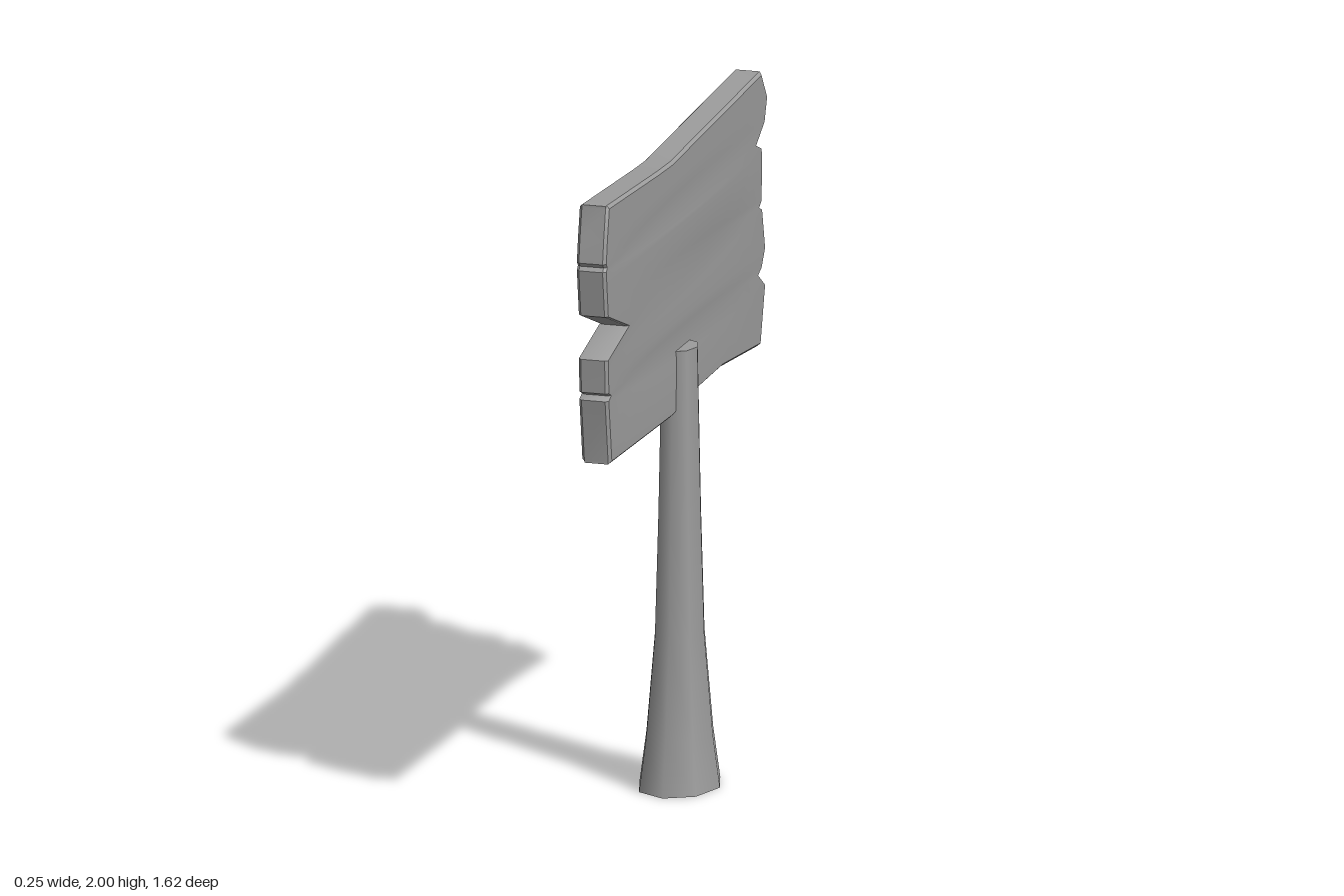
import * as THREE from 'three';
import { toCreasedNormals } from 'three/addons/utils/BufferGeometryUtils.js';

const COLS = 12, BEVEL = 0.009, CENTRE_X = -0.034, HALF = 0.046, GROOVE = 0.006;
const GROOVE_ROWS = [2, 6, 10];

// Board rows from bottom to top: [left z, left y, right z, right y]
const ROWS = [
  [0.755, 1.172, -0.745, 1.168],
  [0.785, 1.373, -0.79, 1.335],
  [0.76, 1.385, -0.72, 1.382],
  [0.785, 1.397, -0.755, 1.397],
  [0.787, 1.45, -0.79, 1.45],
  [0.79, 1.5, -0.76, 1.575],
  [0.58, 1.555, -0.73, 1.588],
  [0.79, 1.635, -0.755, 1.605],
  [0.805, 1.74, -0.76, 1.735],
  [0.81, 1.778, -0.755, 1.765],
  [0.8, 1.79, -0.7, 1.787],
  [0.81, 1.802, -0.785, 1.84],
  [0.8, 1.87, -0.81, 1.91],
  [0.78, 1.975, -0.755, 2.0],
];

// Vertical bow of a row at u (0 = left end, 1 = right end)
function bow(row, u) {
  const tent = (peak) => (u < peak ? u / peak : (1 - u) / (1 - peak));
  const arch = Math.sin(Math.PI * u);
  if (row === 0) return u < 0.42 ? -0.01 * u / 0.42 : -0.01 + 0.03 * tent(0.75);
  if (row === ROWS.length - 1) return -0.037 * tent(0.4);
  if (row === 6) return 0.035 * arch;
  // Rows beside a groove spread apart so that it is soft along its middle
  if (GROOVE_ROWS.includes(row + 1)) return -0.025 * arch;
  if (GROOVE_ROWS.includes(row - 1)) return 0.025 * arch;
  return 0;
}

// Closed cross-section of one row: front face, right end, back face, left end
function section(row, yShift, half) {
  const [zl, yl, zr, yr] = ROWS[row];
  const depth = GROOVE_ROWS.includes(row) ? GROOVE : 0;
  const face = [];
  for (let j = 0; j <= COLS; j++) {
    const u = j / COLS;
    const z = THREE.MathUtils.lerp(zl - BEVEL, zr + BEVEL, u);
    const y = THREE.MathUtils.lerp(yl, yr, u) + bow(row, u) + yShift;
    face.push([half - depth * Math.sin(Math.PI * u), y, z]);
  }
  const edge = HALF - BEVEL;
  const front = [[edge, yl + yShift, zl], ...face, [edge, yr + yShift, zr]];
  const back = front.map(([x, y, z]) => [-x, y, z]).reverse();
  return [...front, ...back].map(([x, y, z]) => [x + CENTRE_X, y, z]);
}

function boardGeometry() {
  const last = ROWS.length - 1;
  const loops = [section(0, 0, HALF - BEVEL)];
  ROWS.forEach((_, i) => loops.push(section(i, i === 0 ? BEVEL : i === last ? -BEVEL : 0, HALF)));
  loops.push(section(last, 0, HALF - BEVEL));

  const n = loops[0].length, index = [];
  const quad = (a, b, c, d) => index.push(a, b, c, a, c, d);
  for (let i = 0; i < loops.length - 1; i++) {
    for (let j = 0; j < n; j++) {
      const k = (j + 1) % n;
      quad(i * n + j, i * n + k, (i + 1) * n + k, (i + 1) * n + j);
    }
  }
  // Top and bottom edges
  const top = (loops.length - 1) * n;
  for (let j = 0; j < n / 2 - 1; j++) {
    quad(top + j, top + j + 1, top + n - 2 - j, top + n - 1 - j);
    quad(n - 1 - j, n - 2 - j, j + 1, j);
  }
  const geometry = new THREE.BufferGeometry();
  geometry.setAttribute('position', new THREE.Float32BufferAttribute(loops.flat(2), 3));
  geometry.setIndex(index);
  return toCreasedNormals(geometry, 0.6);
}

export function createModel() {
  const model = new THREE.Group();
  model.name = 'woodenSign';
  const color = 0x9c9c9c;
  const material = new THREE.MeshStandardMaterial({ color });
  const openMaterial = new THREE.MeshStandardMaterial({ color, side: THREE.DoubleSide });

  const board = new THREE.Mesh(boardGeometry(), material);
  board.name = 'plankBoard';
  model.add(board);

  // Flared eight-sided post, oval in plan and open underneath
  const post = new THREE.Group();
  post.name = 'post';
  const profile = [[0.172, 0], [0.142, 0.16], [0.105, 0.47], [0.09, 0.85], [0.081, 1.17], [0.076, 1.355]];
  const shaft = new THREE.Mesh(
    new THREE.LatheGeometry(profile.map(([r, y]) => new THREE.Vector2(r, y)), 8), openMaterial);
  shaft.name = 'postShaft';
  const cap = new THREE.Mesh(new THREE.CircleGeometry(0.076, 8).rotateX(-Math.PI / 2), material);
  cap.name = 'postTop';
  cap.position.y = 1.355;
  post.add(shaft, cap);
  post.scale.x = 0.73;
  post.position.z = 0.032;
  model.add(post);

  return model;
}
